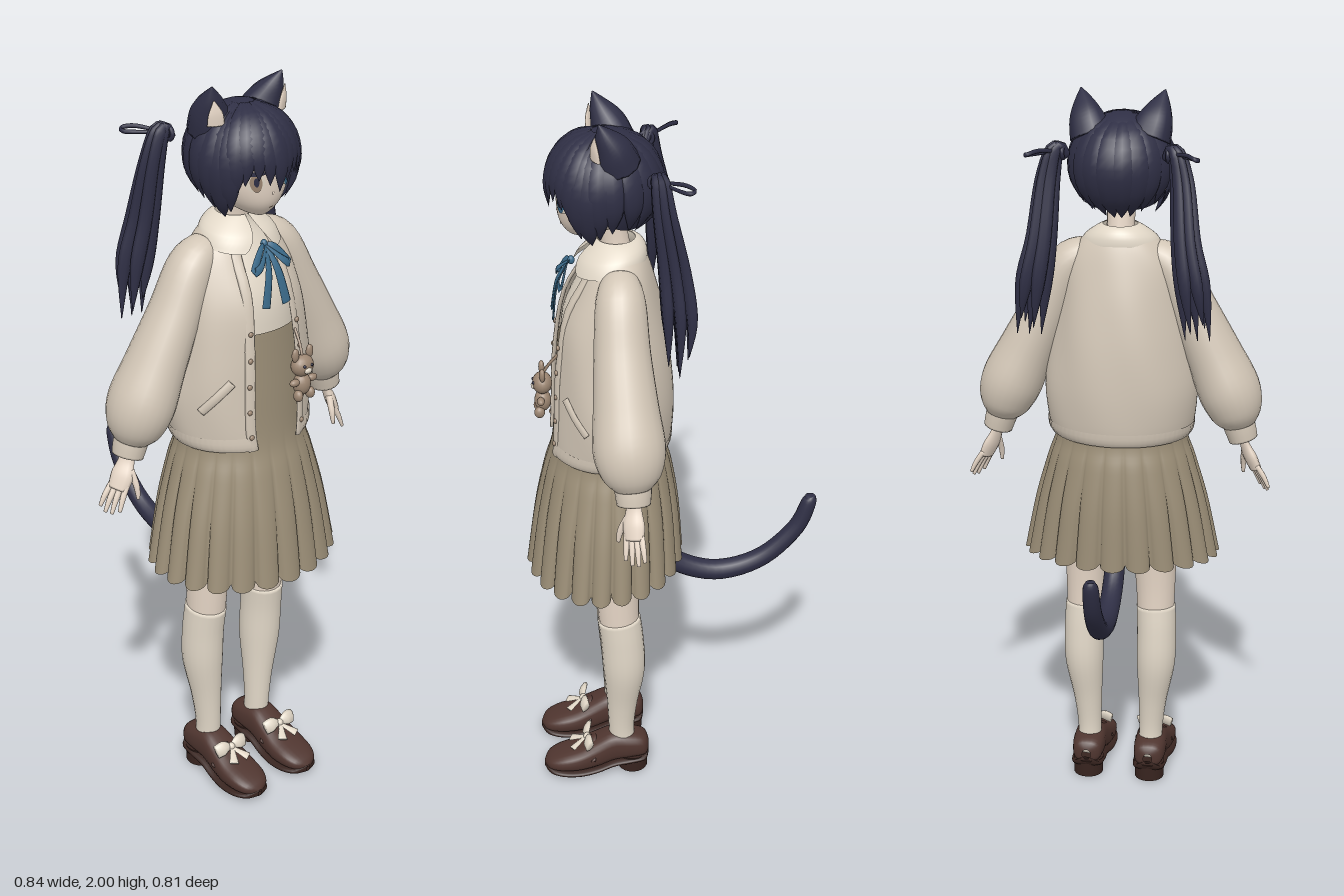
import * as THREE from 'three';

const mat = (name, color, side = THREE.DoubleSide) => {
  const m = new THREE.MeshStandardMaterial({ color, side });
  m.name = name;
  return m;
};
const V = (x, y, z) => new THREE.Vector3(x, y, z);
const { sin, cos, PI, abs, min, max } = Math;

// Smooth interpolation through rows of numbers, t from 0 to 1
function spline(rows, t) {
  const n = rows.length - 1, k = min(Math.floor(t * n), n - 1), f = t * n - k;
  const p = i => rows[max(0, min(n, i))];
  return rows[0].map((_, c) => {
    const a = p(k - 1)[c], b = p(k)[c], d = p(k + 1)[c], e = p(k + 2)[c];
    return b + 0.5 * f * (d - a + f * (2 * a - 5 * b + 4 * d - e + f * (3 * (b - d) + e - a)));
  });
}

// Indexed surface from a rule fn(u, v); closed joins the ends of u
function grid(nu, nv, fn, closed = true) {
  const w = closed ? nu : nu + 1, pos = [], idx = [];
  for (let j = 0; j <= nv; j++) for (let i = 0; i < w; i++) pos.push(...fn(i / nu, j / nv).toArray());
  for (let j = 0; j < nv; j++) for (let i = 0; i < nu; i++) {
    const a = j * w + i, b = j * w + (i + 1) % w;
    idx.push(a, b, b + w, a, b + w, a + w);
  }
  const g = new THREE.BufferGeometry();
  g.setAttribute('position', new THREE.Float32BufferAttribute(pos, 3));
  g.setIndex(idx);
  g.computeVertexNormals();
  return g;
}

// Tapered tube through [x, y, z, radius] rows; flat scales it along the ref direction
function sweep(rows, ref = [0, 0, 1], flat = 1, sides = 12, steps = 16) {
  const r0 = V(...ref);
  return grid(sides, steps + 2, (u, v) => {
    const j = Math.round(v * (steps + 2)), t = max(0, min(1, (j - 1) / steps));
    const [x, y, z, r] = spline(rows, t);
    const T = V(...spline(rows, min(1, t + 0.01))).sub(V(...spline(rows, max(0, t - 0.01)))).normalize();
    const N = r0.clone().addScaledVector(T, -r0.dot(T)).normalize(), B = T.clone().cross(N);
    const R = j === 0 || j === steps + 2 ? 0.0001 : max(r, 0.0005), a = u * 2 * PI;
    return V(x, y, z).addScaledVector(N, R * flat * cos(a)).addScaledVector(B, R * sin(a));
  });
}

// Body surfaces from rows of [y, rx, rz, cz]; angle 0 is the front
const ring = (rows, v, a, k = 1) => {
  const [y, rx, rz, cz] = spline(rows, v);
  return V(rx * k * sin(a), y, cz + rz * k * cos(a));
};
const loft = (rows, nu, nv) => grid(nu, nv, (u, v) => ring(rows, v, u * 2 * PI));
const vAt = (rows, y) => {
  let lo = 0, hi = 1;
  for (let i = 0; i < 20; i++) { const m = (lo + hi) / 2; if (spline(rows, m)[0] < y) lo = m; else hi = m; }
  return lo;
};

const HEAD = [[1.664, 0.001, 0.001, 0.245], [1.678, 0.038, 0.04, 0.226], [1.71, 0.08, 0.088, 0.198], [1.76, 0.112, 0.115, 0.177],
  [1.82, 0.118, 0.122, 0.168], [1.89, 0.096, 0.1, 0.168], [1.93, 0.01, 0.01, 0.168]];
const JACKET = [[1.06, 0.19, 0.16, 0.172, 0.42], [1.1, 0.202, 0.164, 0.166, 0.42], [1.2, 0.21, 0.163, 0.16, 0.42], [1.32, 0.194, 0.157, 0.16, 0.42],
  [1.44, 0.174, 0.139, 0.16, 0.42], [1.54, 0.152, 0.102, 0.147, 0.45], [1.6, 0.113, 0.077, 0.14, 0.5], [1.64, 0.06, 0.056, 0.137, 0.5]];
const SHIRT = [[1.34, 0.16, 0.135, 0.158], [1.45, 0.15, 0.125, 0.158], [1.55, 0.12, 0.09, 0.147], [1.62, 0.06, 0.055, 0.14], [1.65, 0.048, 0.048, 0.14]];
const SKIRT = [[0.685, 0.272, 0.212, 0.187], [0.85, 0.24, 0.195, 0.18], [0.98, 0.205, 0.172, 0.175], [1.07, 0.18, 0.15, 0.172], [1.22, 0.184, 0.147, 0.163], [1.37, 0.166, 0.14, 0.159]];

// Hair surface: e is the elevation, rounded above and falling straighter below
const scalp = (a, e, k = 1) => {
  const s = sin(e), r = (e > 0 ? cos(e) : 1 - (0.25 + 0.35 * (1 - cos(a)) / 2) * s * s) * k;
  return V(0.132 * r * sin(a), 1.805 + 0.14 * s * (e > 0 ? k : 1), 0.168 + 0.139 * r * cos(a));
};

export function createModel() {
  const M = {
    skin: mat('skin', 0xe8d8c8), hair: mat('midnight hair', 0x2f2f45), knit: mat('cream knit', 0xd2c6b6),
    cream: mat('pale cotton', 0xe2d8c8), skirt: mat('taupe skirt', 0x9a8d76), blue: mat('blue ribbon', 0x3c6c8c),
    shoe: mat('brown leather', 0x4f352f), sole: mat('dark sole', 0x38241f), plush: mat('tan plush', 0x9c8672),
  };
  const model = new THREE.Group();
  const add = (name, geo, m, p) => {
    const o = new THREE.Mesh(geo, m);
    o.name = name;
    if (p) o.position.set(...p);
    model.add(o);
    return o;
  };
  const ball = (name, m, p, rx, ry = rx, rz = rx) => add(name, new THREE.SphereGeometry(1, 18, 12), m, p).scale.set(rx, ry, rz);

  // Head, neck and face
  add('head', loft(HEAD, 40, 30), M.skin);
  add('neck', sweep([[0, 1.57, 0.14, 0.045], [0, 1.65, 0.148, 0.038], [0, 1.73, 0.165, 0.042]]), M.skin);
  const decal = (name, m, a0, y0, ra, ry, lift) => add(name, grid(20, 4, (u, v) => {
    const t = u * 2 * PI, r = 1 - v;
    const p = ring(HEAD, vAt(HEAD, y0 + ry * r * sin(t)), a0 + ra * r * cos(t));
    p.z += lift;
    return p;
  }), m);
  for (const s of [1, -1]) {
    decal('eyeWhite', M.cream, s * 0.48, 1.77, 0.24, 0.025, 0.002);
    decal('iris', s > 0 ? M.blue : M.plush, s * 0.46, 1.768, 0.14, 0.024, 0.004);
    decal('pupil', M.hair, s * 0.46, 1.771, 0.06, 0.012, 0.006);
    decal('lash', M.hair, s * 0.49, 1.793, 0.26, 0.006, 0.006);
    ball('ear', M.skin, [s * 0.116, 1.765, 0.16], 0.012, 0.028, 0.02);
  }
  decal('mouth', M.plush, 0, 1.697, 0.1, 0.002, 0.002);
  ball('nose', M.skin, [0, 1.735, 0.285], 0.005, 0.007, 0.007);

  // Hair cap and the locks that hug it
  add('hairCap', grid(48, 16, (u, v) => {
    const a = u * 2 * PI, e0 = -0.85 + 1.25 * ((1 + cos(a)) / 2) ** 2;
    return scalp(a, e0 + (PI / 2 - e0) * v);
  }), M.hair);
  const lock = (name, a0, a1, yEnd, w, k = 1.0) => {
    const e1 = Math.asin((yEnd - 1.805) / 0.14), rows = [0, 0.25, 0.5, 0.75, 1].map((t, i) => {
      const p = scalp(a0 + (a1 - a0) * t, 1.35 + (e1 - 1.35) * t, k + 0.05 * t);
      return [p.x, p.y, p.z, w * [0.1, 0.75, 1, 0.8, 0.02][i]];
    });
    add(name, sweep(rows, [sin(a1), 0.3, cos(a1)], 0.35, 8, 14), M.hair);
  };
  lock('fringeLock', 0, 0.03, 1.742, 0.03, 1.02);
  for (const s of [1, -1]) {
    [[0.2, 0.2, 1.765], [0.4, 0.42, 1.78], [0.6, 0.66, 1.768], [0.8, 0.84, 1.735]].forEach(([a, b, y]) => lock('fringeLock', s * a, s * b, y, 0.03, 1.01));
    [[0.95, 0.95, 1.69], [1.15, 1.15, 1.669], [1.4, 1.38, 1.69], [1.65, 1.65, 1.71]].forEach(([a, b, y]) => lock('sideLock', s * a, s * b, y, 0.031));
    [[2.0, 2.05, 1.71], [2.35, 2.4, 1.695], [2.65, 2.7, 1.68], [2.98, 3.0, 1.675]].forEach(([a, b, y]) => lock('backLock', s * a, s * b, y, 0.034, 0.99));
    // Cat ears
    add('catEar', sweep([[s * 0.076, 1.885, 0.14, 0.06], [s * 0.09, 1.925, 0.152, 0.049], [s * 0.102, 1.965, 0.172, 0.028], [s * 0.112, 2.0, 0.188, 0.002]], [s * 0.4, 0, 1], 0.95), M.hair);
    add('innerEar', sweep([[s * 0.106, 1.905, 0.197, 0.022], [s * 0.109, 1.935, 0.199, 0.018], [s * 0.114, 1.968, 0.198, 0.002]], [s * 0.5, 0, 1], 0.3), M.skin);
    // Twin tails
    for (let i = 0; i < 7; i++) {
      const q = i * 2 * PI / 6, c = i < 6 ? 1 : 0, dx = 0.018 * cos(q) * c, dz = 0.025 * sin(q) * c, d = 0.025 * (i % 3);
      add('twinTail', sweep([[s * 0.128, 1.845, 0.055, 0.01], [s * (0.155 + dx * 0.5), 1.872, 0.045 + dz * 0.5, 0.014], [s * (0.176 + dx), 1.79, 0.035 + dz * 0.8, 0.016],
        [s * (0.19 + dx * 1.3), 1.64, 0.012 + dz * 1.2, 0.019], [s * (0.21 + dx * 1.8), 1.52, 0.002 + dz * 1.4, 0.018], [s * (0.225 + dx * 1.8), 1.375 + d, 0.006 + dz * 1.2, 0.001]],
      [s * 0.4, 0.2, 1], 0.7, 8, 22), M.hair);
    }
    const tie = add('hairTie', new THREE.TorusGeometry(0.017, 0.006, 8, 16), M.hair, [s * 0.138, 1.857, 0.052]);
    tie.rotation.y = PI / 2;
    add('hairTieLoop', sweep([[s * 0.15, 1.86, 0.04, 0.003], [s * 0.19, 1.87, -0.01, 0.004], [s * 0.215, 1.865, -0.035, 0.004], [s * 0.22, 1.86, -0.015, 0.004], [s * 0.155, 1.86, 0.04, 0.003]], [0, 1, 0], 1.5, 6), M.hair);
  }

  // Shirt, collar and ribbon
  add('shirt', loft(SHIRT, 40, 16), M.cream);
  const COLLAR = [[1.57, 0.12, 0.106, 0.152], [1.605, 0.103, 0.093, 0.149], [1.635, 0.07, 0.068, 0.143], [1.652, 0.046, 0.048, 0.142]];
  add('collar', grid(48, 8, (u, v) => {
    const a = 0.1 + 0.35 * (1 - v) ** 3 + u * (2 * PI - 0.2 - 0.7 * (1 - v) ** 3), back = (1 - cos(a)) * (1 - v);
    const p = ring(COLLAR, v, a, 1.02 - 0.09 * back);
    p.y += 0.017 * back;
    return p;
  }, false), M.cream);
  ball('ribbonKnot', M.blue, [0, 1.592, 0.258], 0.009, 0.012, 0.009);
  for (const s of [1, -1]) {
    add('ribbonLoop', sweep([[0, 1.592, 0.26, 0.004], [s * 0.022, 1.585, 0.272, 0.009], [s * 0.055, 1.54, 0.288, 0.012], [s * 0.036, 1.552, 0.293, 0.009], [0, 1.59, 0.266, 0.003]], [0, 0.3, 1], 0.25, 8), M.blue);
    add('ribbonTail', sweep([[0, 1.59, 0.264, 0.005], [s * 0.015, 1.53, 0.296, 0.011], [s * 0.034, 1.442, 0.31, 0.014]], [0, 0, 1], 0.2, 8), M.blue);
  }

  // Pleated pinafore skirt
  add('pleatedSkirt', grid(264, 28, (u, v) => {
    const a = u * 2 * PI, fade = max(0, 1 - v / 0.62), fold = abs(sin(a * 11 + PI / 2)) ** 0.5;
    const p = ring(SKIRT, v, a, 1 + (fold - 0.85) * 0.11 * fade);
    p.y += fade * (0.012 * (1 - cos(a)) + 0.014 * (1 - fold) - 0.003);
    return p;
  }), M.skirt);
  add('waistband', grid(48, 2, (u, v) => ring(SKIRT, 0.955 + 0.045 * v, u * 2 * PI, 1.01)), M.skirt);

  // Open knitted jacket with hem, front bands, buttons and pockets
  const jacketAt = (v, u, k = 1) => {
    const a0 = spline(JACKET, v)[4];
    return ring(JACKET, v, a0 + u * 2 * (PI - a0), k);
  };
  add('jacketBody', grid(64, 28, (u, v) => jacketAt(v, u, 1 + 0.012 * sin(u * 40 + v * 9) * sin(v * PI)), false), M.knit);
  add('jacketHem', grid(160, 4, (u, v) => jacketAt(v * 0.14, u, 1.01 + 0.015 * sin(v * PI) + 0.003 * sin(u * 400)), false), M.knit);
  for (const s of [1, -1]) {
    const edge = (v, k = 1) => { const p = jacketAt(v, 0, k); p.x *= s; return p; };
    add('frontBand', sweep([0, 0.2, 0.4, 0.6, 0.75, 0.9].map(v => [...edge(v).toArray(), 0.014]), [s * 0.4, 0, 1], 0.35, 8), M.knit);
    for (const y of [1.1, 1.17, 1.24, 1.31, 1.38]) ball('jacketButton', M.plush, edge(vAt(JACKET, y), 1.03).toArray(), 0.007, 0.007, 0.005);
    add('pocketWelt', sweep([[0.66, 1.255], [0.86, 1.215], [1.08, 1.175]].map(([a, y]) => [...ring(JACKET, vAt(JACKET, y), s * a, 1.015).toArray(), 0.012]), [s * 0.7, 0, 0.7], 0.45, 8), M.knit);

    // Puffed sleeve and cuff
    add('sleeve', sweep([[s * 0.085, 1.572, 0.14, 0.042], [s * 0.14, 1.535, 0.143, 0.058], [s * 0.197, 1.42, 0.145, 0.066], [s * 0.255, 1.3, 0.142, 0.076],
      [s * 0.3, 1.2, 0.138, 0.085], [s * 0.322, 1.135, 0.134, 0.07], [s * 0.333, 1.1, 0.132, 0.042]], [0, 0, 1], 1.1, 24, 30), M.knit);
    add('cuff', sweep([[s * 0.322, 1.125, 0.132, 0.045], [s * 0.334, 1.09, 0.132, 0.043], [s * 0.342, 1.062, 0.132, 0.04]], [0, 0, 1], 1.1, 20, 8), M.knit);

    // Hand turned a little outward, with spread fingers
    const dir = [s, 0.4, 0.6];
    add('palm', sweep([[s * 0.336, 1.08, 0.132, 0.02], [s * 0.347, 1.045, 0.132, 0.023], [s * 0.362, 1.01, 0.134, 0.031], [s * 0.378, 0.975, 0.134, 0.027]], dir, 0.5), M.skin);
    [-1.5, -0.5, 0.5, 1.5].forEach((f, i) => {
      const x = 0.371 - f * 0.007, z = 0.134 + f * 0.012, l = [0.8, 0.97, 1, 0.9][i];
      add('finger', sweep([[s * x, 0.99, z, 0.0085], [s * (x + 0.022 * l - f * 0.002), 0.99 - 0.038 * l, z + f * 0.002, 0.008],
        [s * (x + 0.038 * l - f * 0.003), 0.99 - 0.075 * l, z + f * 0.004, 0.005]], dir, 0.9, 8, 8), M.skin);
    });
    add('thumb', sweep([[s * 0.345, 1.025, 0.148, 0.01], [s * 0.341, 0.985, 0.166, 0.009], [s * 0.341, 0.95, 0.173, 0.005]], [s, 0, 0], 0.9, 8, 8), M.skin);

    // Leg and knee sock
    add('thigh', sweep([[s * 0.101, 0.5, 0.157, 0.052], [s * 0.1, 0.6, 0.16, 0.056], [s * 0.096, 0.72, 0.16, 0.064], [s * 0.085, 0.92, 0.16, 0.082]], [0, 0, 1], 1.05, 20), M.skin);
    add('kneeSock', sweep([[s * 0.09, 0.06, 0.15, 0.036], [s * 0.09, 0.14, 0.155, 0.034], [s * 0.095, 0.24, 0.152, 0.041], [s * 0.104, 0.36, 0.146, 0.055],
      [s * 0.105, 0.46, 0.15, 0.056], [s * 0.102, 0.535, 0.158, 0.056]], [0, 0, 1], 1.07, 20, 24), M.cream);

    // Loafer: sections along its length as [z, half width, bottom, top]
    const SHOE = [[0.078, 0.012, 0.06, 0.09], [0.09, 0.038, 0.046, 0.112], [0.13, 0.046, 0.042, 0.124], [0.18, 0.046, 0.034, 0.13],
      [0.23, 0.051, 0.018, 0.107], [0.28, 0.056, 0.012, 0.082], [0.33, 0.053, 0.014, 0.066], [0.365, 0.036, 0.018, 0.05], [0.38, 0.003, 0.025, 0.032]];
    const pw = (c, e) => Math.sign(c) * abs(c) ** e;
    const section = (v, t, w, lo, hi) => {
      const [z, hw, b, h] = spline(SHOE, v), y0 = b + lo, y1 = hi === null ? h : b + hi;
      return V(s * 0.09 + (hw + w) * pw(cos(t), 0.75), (y0 + y1) / 2 + (y1 - y0) / 2 * pw(sin(t), 0.75), z);
    };
    add('loafer', grid(24, 28, (u, v) => section(v, u * 2 * PI, 0, 0, null)), M.shoe);
    add('sole', grid(24, 28, (u, v) => section(v, u * 2 * PI, 0.003, -0.012, 0.008)), M.sole);
    add('heel', new THREE.CylinderGeometry(0.044, 0.042, 0.05, 20), M.sole, [s * 0.09, 0.025, 0.124]);
    add('loaferStrap', sweep([[s * 0.09 - 0.052, 0.055, 0.245, 0.012], [s * 0.09, 0.103, 0.24, 0.014], [s * 0.09 + 0.052, 0.055, 0.245, 0.012]], [0, 1, 0.4], 0.35, 8), M.shoe);
    ball('shoeBowKnot', M.cream, [s * 0.09, 0.11, 0.255], 0.011, 0.011, 0.011);
    for (const b of [1, -1]) {
      add('shoeBowLoop', sweep([[s * 0.09, 0.11, 0.255, 0.006], [s * 0.09 + b * 0.026, 0.115, 0.255, 0.02], [s * 0.09 + b * 0.05, 0.108, 0.25, 0.019]], [0, 0.5, 1], 0.45, 8, 8), M.cream);
      add('shoeBowTail', sweep([[s * 0.09, 0.108, 0.26, 0.006], [s * 0.09 + b * 0.026, 0.088, 0.3, 0.014]], [0, 1, 0.4], 0.3, 8, 6), M.cream);
    }
  }
  ball('shorts', M.cream, [0, 0.92, 0.16], 0.165, 0.12, 0.11);

  // Curled cat tail
  add('tail', sweep([[0, 0.8, 0.07, 0.026], [0, 0.71, 0.05, 0.028], [0, 0.64, -0.02, 0.029], [0, 0.607, -0.13, 0.029], [0, 0.64, -0.25, 0.027],
    [0, 0.73, -0.345, 0.024], [0, 0.815, -0.382, 0.021], [0, 0.838, -0.384, 0.012]], [1, 0, 0], 1, 16, 36), M.hair);

  // Plush charm hanging at the jacket edge
  const px = 0.06, pz = 0.345;
  ball('plushHead', M.plush, [px, 1.272, pz], 0.033, 0.029, 0.026);
  ball('plushBody', M.plush, [px, 1.22, pz], 0.025, 0.03, 0.022);
  ball('plushMuzzle', M.cream, [px, 1.265, pz + 0.022], 0.012, 0.009, 0.008);
  for (const b of [1, -1]) {
    ball('plushEar', M.plush, [px + b * 0.024, 1.305, pz], 0.011, 0.019, 0.008);
    ball('plushArm', M.plush, [px + b * 0.03, 1.232, pz + 0.006], 0.015, 0.01, 0.01);
    ball('plushLeg', M.plush, [px + b * 0.02, 1.194, pz + 0.01], 0.012, 0.016, 0.014);
    ball('plushEye', M.hair, [px + b * 0.012, 1.278, pz + 0.023], 0.004);
  }
  add('charmCord', sweep([[px, 1.295, pz, 0.004], [px + 0.006, 1.33, 0.325, 0.004], [px + 0.012, 1.365, 0.295, 0.004]], [1, 0, 0], 1, 6, 6), M.plush);
  return model;
}
